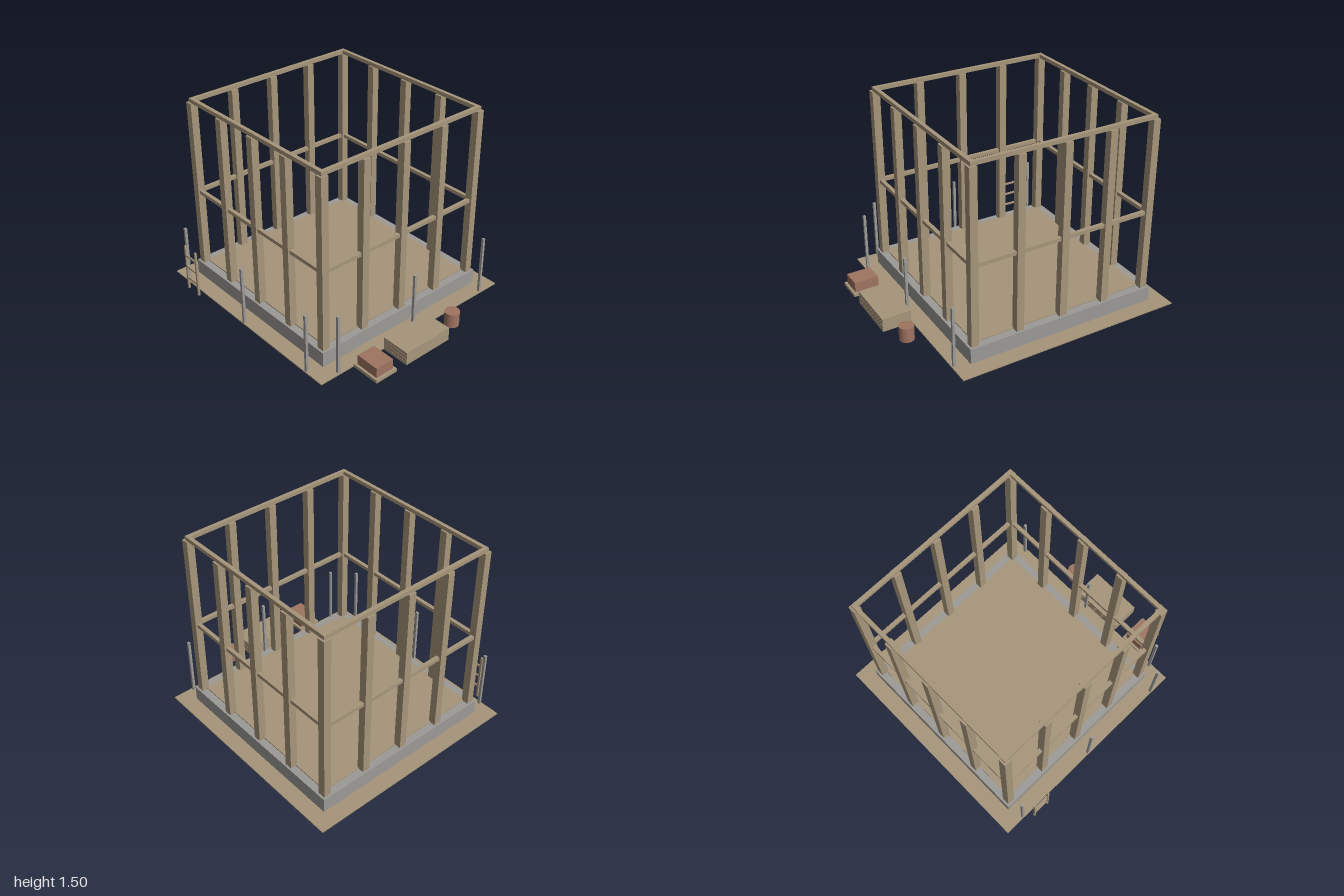
import * as THREE from 'three';

const material = (name, color) => {
  const m = new THREE.MeshStandardMaterial({ color });
  m.name = name;
  return m;
};

export function createModel() {
  const root = new THREE.Group();
  root.name = 'houseFrameSite';
  const timber = material('timber tan', 0xa6957a);
  const concrete = material('concrete grey', 0x9b9a97);
  const brick = material('brick red', 0x9f7461);

  // Box given by its lower and upper bounds on each axis
  const box = (name, mat, x0, x1, y0, y1, z0, z1, parent = root) => {
    const mesh = new THREE.Mesh(new THREE.BoxGeometry(x1 - x0, y1 - y0, z1 - z0), mat);
    mesh.position.set((x0 + x1) / 2, (y0 + y1) / 2, (z0 + z1) / 2);
    mesh.name = name;
    parent.add(mesh);
    return mesh;
  };
  const group = (name) => {
    const g = new THREE.Group();
    g.name = name;
    root.add(g);
    return g;
  };

  // Centre and half span of the walls, measured on the post centres
  const cx = -0.115, cz = -0.028, half = 0.714;
  const base = 0.128, postTop = 1.475;

  // Four butted beams forming a square ring
  const ring = (name, mat, outer, width, y0, y1) => {
    const g = group(name);
    const inner = outer - width;
    for (const s of [-1, 1]) {
      const [a, b] = s < 0 ? [-outer, -inner] : [inner, outer];
      box(name + 'Long', mat, cx - outer, cx + outer, y0, y1, cz + a, cz + b, g);
      box(name + 'Short', mat, cx + a, cx + b, y0, y1, cz - inner, cz + inner, g);
    }
  };

  // Ground, foundation and floor
  box('ground', timber, -1, 0.77, 0.001, 0.01, -0.91, 0.855);
  ring('foundation', concrete, 0.759, 0.085, 0, base);
  const f = half - 0.014;
  box('floor', timber, cx - f, cx + f, 0.115, 0.136, cz - f, cz + f);

  // Horizontal rails around the walls
  ring('middleRail', timber, half + 0.015, 0.03, 0.74, 0.768);
  ring('topRail', timber, half + 0.015, 0.03, postTop, 1.505);

  // Posts around the perimeter, five per wall
  const posts = group('posts');
  for (let i = 0; i < 5; i++) {
    for (let j = 0; j < 5; j++) {
      if (i % 4 && j % 4) continue;
      const x = cx + (i / 2 - 1) * half, z = cz + (j / 2 - 1) * half;
      box('post', timber, x - 0.029, x + 0.029, base, postTop, z - 0.029, z + 0.029, posts);
    }
  }

  // Scaffold poles along the front and the +x side
  const poles = group('scaffoldPoles');
  for (const k of [-1, 0, 1]) {
    for (const [x, z] of [[cx + k * half, 0.84], [0.75, cz + k * half]]) {
      box('pole', concrete, x - 0.01, x + 0.01, 0.005, 0.48, z - 0.01, z + 0.01, poles);
    }
  }

  // Ladder
  const ladder = group('ladder');
  for (const x of [-0.757, -0.624]) {
    box('ladderRail', timber, x - 0.008, x + 0.008, 0, 0.383, 0.889, 0.905, ladder);
  }
  for (const y of [0.1, 0.2, 0.297]) {
    box('ladderRung', timber, -0.757, -0.624, y - 0.007, y + 0.007, 0.891, 0.903, ladder);
  }

  // Stack of boards
  const stack = group('boardStack');
  for (let i = 0; i < 4; i++) {
    box('board', timber, 0.772, 0.998, i * 0.027, i * 0.027 + 0.0245, -0.14, 0.28, stack);
  }

  // Bricks on a pallet
  box('pallet', timber, 0.77, 1, 0, 0.025, 0.373, 0.563);
  box('brickPile', brick, 0.79, 0.98, 0.025, 0.105, 0.393, 0.545);

  // Barrel
  const barrel = new THREE.Mesh(new THREE.CylinderGeometry(0.056, 0.056, 0.115, 24), brick);
  barrel.position.set(0.884, 0.0575, -0.293);
  barrel.name = 'barrel';
  root.add(barrel);

  return root;
}
